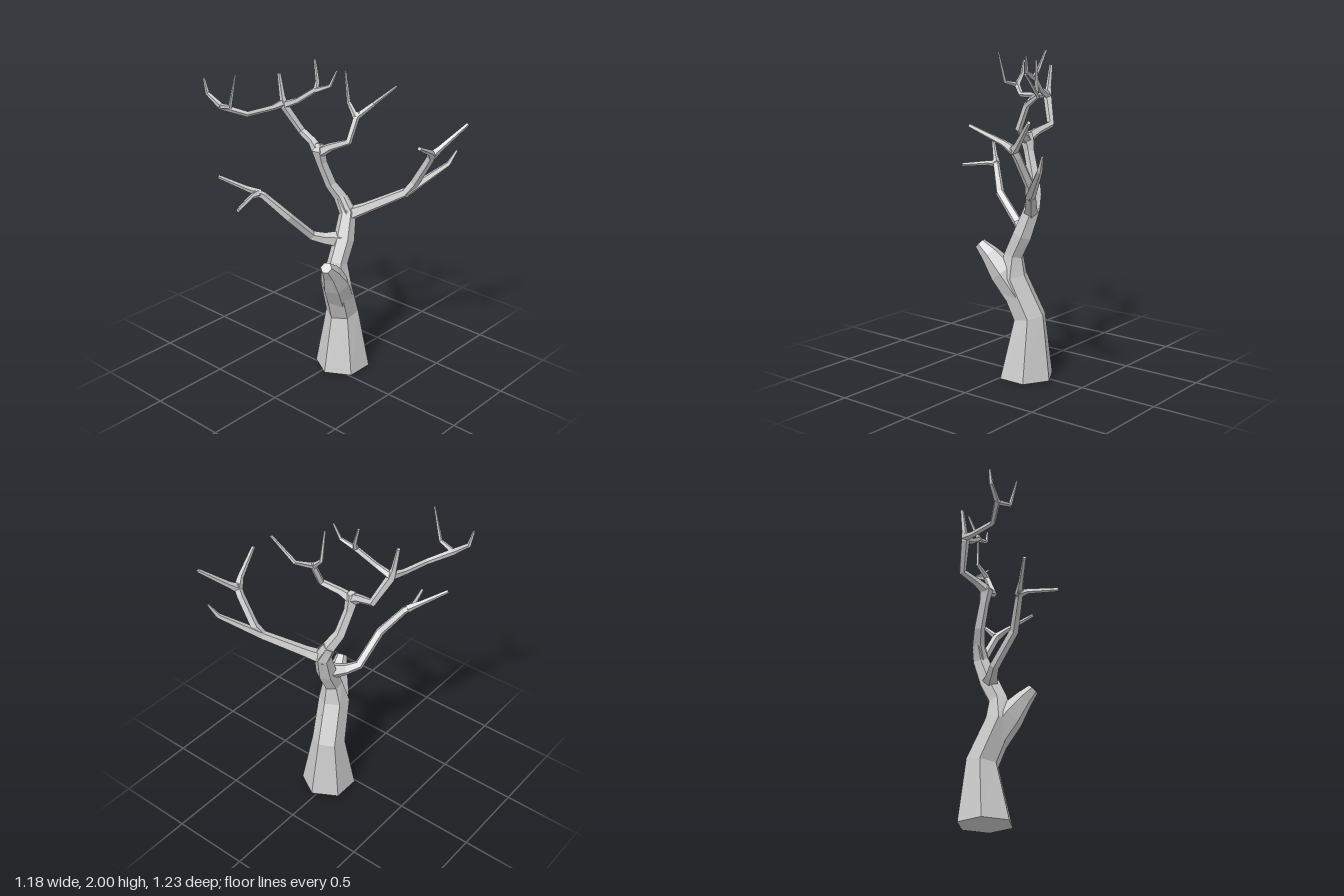
import * as THREE from 'three';

const material = new THREE.MeshStandardMaterial({ color: 0xcccccc, flatShading: true });

// Sweeps a faceted limb through points [x, y, z, radius], capped at both ends.
function limb(name, points, sides = 5, startDirection = null) {
  const centres = points.map(([x, y, z]) => new THREE.Vector3(x, y, z));
  const directions = centres.slice(1).map((c, i) => c.clone().sub(centres[i]).normalize());
  const last = centres.length - 1;
  const positions = [];
  const indices = [];
  let u = null;

  centres.forEach((c, i) => {
    const t = new THREE.Vector3();
    if (i === 0 && startDirection) t.copy(startDirection);
    else t.add(directions[Math.max(i - 1, 0)]).add(directions[Math.min(i, last - 1)]);
    t.normalize();
    if (!u) u = Math.abs(t.x) < 0.85 ? new THREE.Vector3(1, 0, 0) : new THREE.Vector3(0, 0, 1);
    u = u.clone().addScaledVector(t, -u.dot(t)).normalize();
    const v = t.clone().cross(u);
    for (let k = 0; k < sides; k++) {
      const a = (k / sides) * Math.PI * 2;
      const p = c.clone()
        .addScaledVector(u, Math.cos(a) * points[i][3])
        .addScaledVector(v, Math.sin(a) * points[i][3]);
      positions.push(p.x, p.y, p.z);
    }
  });

  for (let i = 0; i < last; i++) {
    for (let k = 0; k < sides; k++) {
      const a = i * sides + k;
      const b = i * sides + ((k + 1) % sides);
      indices.push(a, b, b + sides, a, b + sides, a + sides);
    }
  }
  const end = last * sides;
  for (let k = 1; k < sides - 1; k++) {
    indices.push(0, k + 1, k, end, end + k, end + k + 1);
  }

  const geometry = new THREE.BufferGeometry();
  geometry.setAttribute('position', new THREE.Float32BufferAttribute(positions, 3));
  geometry.setIndex(indices);
  const flat = geometry.toNonIndexed();
  flat.computeVertexNormals();
  const mesh = new THREE.Mesh(flat, material);
  mesh.name = name;
  return mesh;
}

export function createModel() {
  const tree = new THREE.Group();
  tree.name = 'bareTree';
  const add = (...args) => tree.add(limb(...args));
  const up = new THREE.Vector3(0, 1, 0);

  // Leaning trunk and the broken stump on its side
  add('trunk', [
    [0.10, 0, 0.03, 0.175], [0.112, 0.38, 0.015, 0.105], [0.005, 0.63, 0.055, 0.098],
    [0.02, 0.77, 0.055, 0.064], [0.085, 0.90, 0.05, 0.066], [0.14, 1.06, 0.03, 0.055],
    [0.13, 1.15, -0.015, 0.042],
  ], 6, up);
  add('brokenStump', [
    [0.05, 0.52, 0.04, 0.095], [-0.04, 0.66, 0.085, 0.09],
    [-0.12, 0.765, 0.12, 0.058], [-0.18, 0.825, 0.14, 0.036],
  ], 6);

  // Upper trunk to the crown fork
  add('upperTrunk', [
    [0.14, 1.06, 0.03, 0.052], [0.125, 1.16, -0.02, 0.042], [0.085, 1.24, -0.06, 0.037],
    [0.03, 1.39, -0.085, 0.034], [0.01, 1.47, -0.09, 0.045], [0.02, 1.51, -0.09, 0.025],
  ]);

  // Crown, front side
  add('crownFrontBranch', [
    [0.01, 1.46, -0.08, 0.036], [0.035, 1.50, -0.02, 0.026], [0.08, 1.545, 0.085, 0.022],
    [0.14, 1.68, 0.09, 0.021], [0.16, 1.71, 0.09, 0.014],
  ]);
  add('crownFrontTwig', [
    [0.14, 1.685, 0.09, 0.02], [0.255, 1.75, 0.13, 0.014], [0.28, 1.88, 0.28, 0.008],
  ]);
  add('crownFrontTwig', [
    [0.14, 1.685, 0.09, 0.02], [0.16, 1.76, 0.015, 0.013], [0.145, 1.95, 0.0, 0.007],
  ]);

  // Crown, back side
  add('crownBackBranch', [
    [0.01, 1.47, -0.10, 0.038], [0.03, 1.505, -0.16, 0.027], [0.055, 1.54, -0.27, 0.025],
    [-0.02, 1.70, -0.34, 0.028], [-0.025, 1.76, -0.355, 0.019], [-0.025, 1.90, -0.38, 0.012],
  ]);
  add('crownSideBranch', [
    [-0.02, 1.72, -0.35, 0.026], [-0.10, 1.705, -0.365, 0.019], [-0.28, 1.70, -0.40, 0.018],
    [-0.40, 1.755, -0.51, 0.020],
  ]);
  add('crownSideTwig', [
    [-0.39, 1.75, -0.50, 0.02], [-0.415, 1.82, -0.59, 0.014], [-0.42, 1.91, -0.61, 0.008],
  ]);
  add('crownSideTwig', [
    [-0.39, 1.75, -0.51, 0.018], [-0.412, 1.775, -0.40, 0.013], [-0.42, 1.975, -0.34, 0.006],
  ]);
  add('crownInnerBranch', [
    [-0.02, 1.71, -0.34, 0.026], [-0.005, 1.75, -0.25, 0.019], [0.04, 1.845, -0.12, 0.018],
  ]);
  add('crownInnerTwig', [[0.03, 1.83, -0.13, 0.018], [0.055, 1.88, -0.14, 0.013], [0.08, 2.0, -0.185, 0.008]]);
  add('crownInnerTwig', [[0.03, 1.83, -0.13, 0.018], [0.05, 1.87, -0.035, 0.012], [0.07, 1.965, 0.0, 0.007]]);

  // Left front bough
  add('leftBough', [
    [0.13, 1.04, 0.025, 0.05], [0.20, 1.09, 0.12, 0.038], [0.355, 1.21, 0.325, 0.030],
    [0.54, 1.38, 0.49, 0.017], [0.58, 1.465, 0.52, 0.008],
  ]);
  add('leftBranch', [
    [0.34, 1.19, 0.31, 0.028], [0.375, 1.27, 0.36, 0.029],
    [0.37, 1.44, 0.465, 0.027], [0.36, 1.50, 0.50, 0.026],
  ]);
  for (const tip of [[0.555, 1.655, 0.605, 0.012], [0.12, 1.61, 0.58, 0.012]]) {
    const side = Math.sign(tip[0] - 0.36);
    add('leftTwig', [[0.36, 1.48, 0.49, 0.03], [0.36 + side * 0.05, 1.52, 0.515, 0.02], tip]);
  }

  // Right back bough
  add('rightBough', [
    [0.07, 0.90, 0.04, 0.055], [0.0, 0.905, -0.035, 0.038], [-0.06, 0.93, -0.09, 0.031],
    [-0.23, 1.10, -0.12, 0.029], [-0.34, 1.245, -0.22, 0.024], [-0.38, 1.275, -0.26, 0.022],
  ]);
  add('rightTwig', [[-0.35, 1.26, -0.235, 0.026], [-0.41, 1.295, -0.295, 0.017], [-0.52, 1.37, -0.41, 0.012]]);
  add('rightTwig', [[-0.35, 1.26, -0.24, 0.026], [-0.42, 1.26, -0.235, 0.016], [-0.59, 1.24, -0.175, 0.012]]);

  return tree;
}
